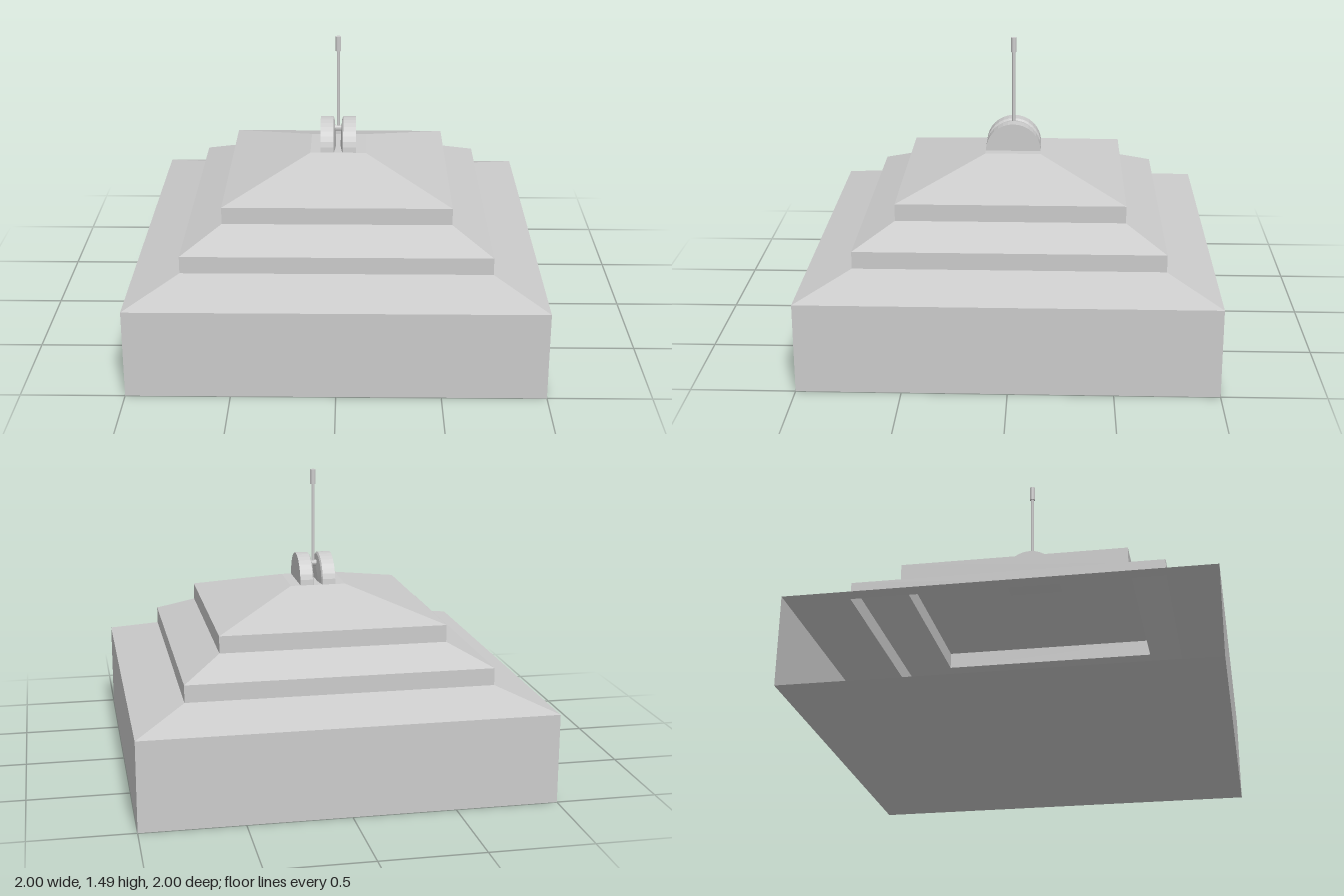
import * as THREE from 'three';

const material = new THREE.MeshStandardMaterial({
  color: 0xcccccc, flatShading: true, side: THREE.DoubleSide,
});

function add(group, name, geometry, x = 0, y = 0, z = 0) {
  const mesh = new THREE.Mesh(geometry, material);
  mesh.name = name;
  mesh.position.set(x, y, z);
  group.add(mesh);
  return mesh;
}

// Square shell from [halfWidth, height] pairs; fewer sides leave the -x side open
function squareShell(profile, sides = 4) {
  const points = profile.map(([h, y]) => new THREE.Vector2(h * Math.SQRT2, y));
  return new THREE.LatheGeometry(points, sides, -Math.PI / 4, sides * Math.PI / 2);
}

export function createModel() {
  const model = new THREE.Group();
  model.name = 'steppedPyramid';

  // Base: floor and three walls, open towards -x
  add(model, 'floor', squareShell([[0, 0], [1, 0]]));
  add(model, 'baseWalls', squareShell([[1, 0], [1, 0.44]], 3));

  // Stepped roof: alternating slopes and short upright bands
  const steps = [[1, 0.44], [0.75, 0.525], [0.75, 0.61], [0.56, 0.7], [0.56, 0.785], [0.14, 0.915], [0, 0.915]];
  add(model, 'steppedRoof', squareShell(steps));

  // Pair of half discs with slightly domed inner faces
  const discProfile = [[0, 0.012], [0.06, 0.013], [0.13, 0.02], [0.14, 0.026], [0.14, 0.09], [0, 0.09]]
    .map(([r, a]) => new THREE.Vector2(r, a));
  const disc = new THREE.LatheGeometry(discProfile, 16, Math.PI, Math.PI).rotateZ(-Math.PI / 2);
  add(model, 'leftHalfDisc', disc, 0, 0.915);
  add(model, 'rightHalfDisc', disc, 0, 0.915).rotation.y = Math.PI;

  // Lever hinged on a small axle between the discs
  add(model, 'axle', new THREE.CylinderGeometry(0.015, 0.015, 0.04, 12).rotateZ(Math.PI / 2), 0, 1);
  add(model, 'leverRod', new THREE.CylinderGeometry(0.008, 0.008, 0.42, 12), 0, 1.2);
  add(model, 'leverKnob', new THREE.CylinderGeometry(0.014, 0.014, 0.075, 12), 0, 1.448);

  return model;
}
